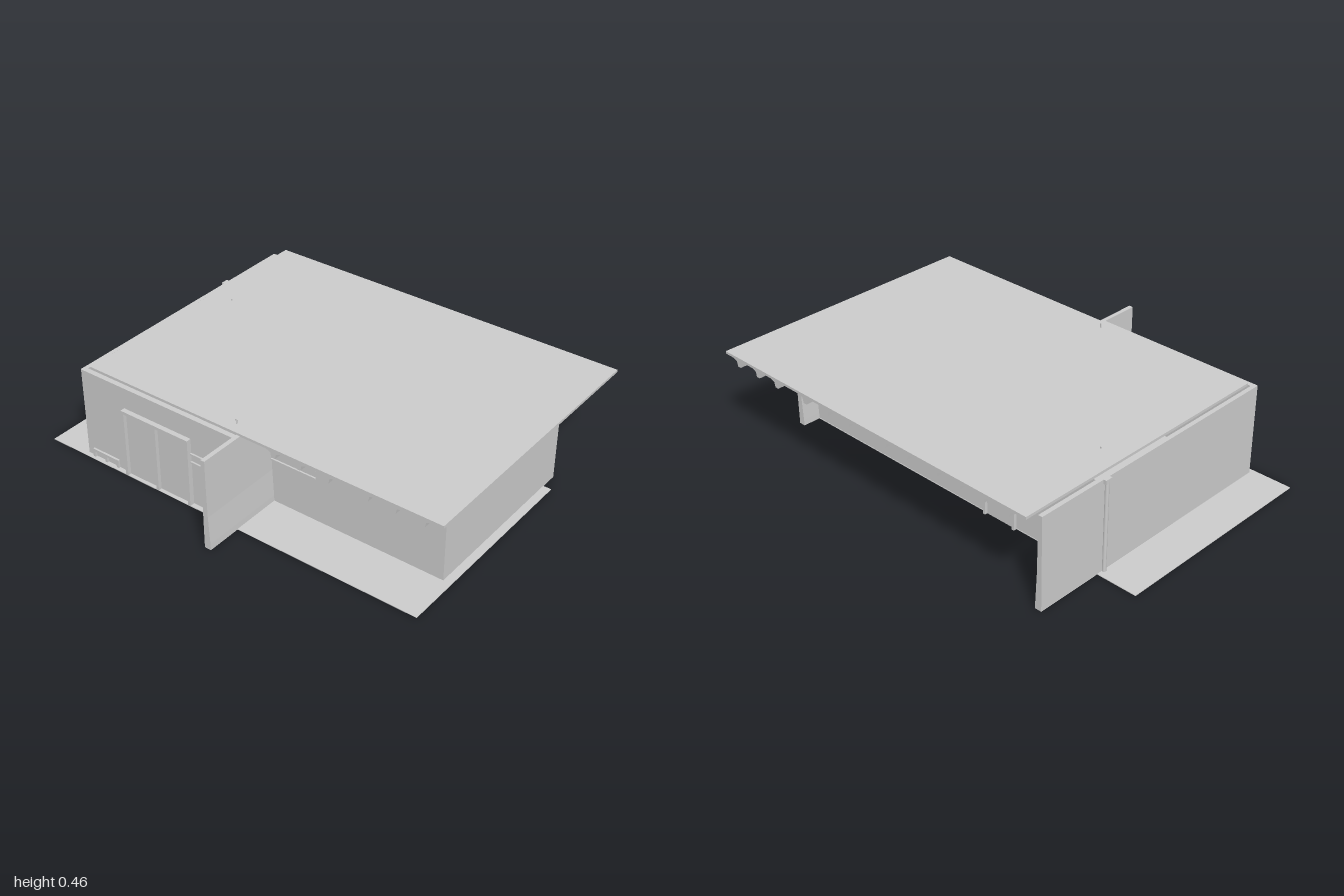
import * as THREE from 'three';

const grey = new THREE.MeshStandardMaterial({ color: 0xcccccc, flatShading: true });
const smooth = new THREE.MeshStandardMaterial({ color: 0xcccccc });

export function createModel() {
  const model = new THREE.Group();

  function add(name, geometry, material = grey) {
    const mesh = new THREE.Mesh(geometry, material);
    mesh.name = name;
    model.add(mesh);
    return mesh;
  }
  // Box given by its extents on each axis
  function box(name, [x0, x1], [y0, y1], [z0, z1]) {
    const mesh = add(name, new THREE.BoxGeometry(x1 - x0, y1 - y0, z1 - z0));
    mesh.position.set((x0 + x1) / 2, (y0 + y1) / 2, (z0 + z1) / 2);
    return mesh;
  }
  // Profile of [z, y] points swept along x
  function sweepX(name, points, x0, x1) {
    const shape = new THREE.Shape(points.map(([z, y]) => new THREE.Vector2(-z, y)));
    const geometry = new THREE.ExtrudeGeometry(shape, { depth: x1 - x0, bevelEnabled: false });
    geometry.rotateY(Math.PI / 2).translate(x0, 0, 0);
    return add(name, geometry);
  }
  // Wall with an upright outer face and an inner face that flares at the foot
  function batteredWall(name, x0, x1, outer, inward, height) {
    const profile = [[0, 0], [0.032, 0], [0.031, 0.03], [0.024, 0.16], [0.021, 0.3], [0.02, height], [0, height]];
    return sweepX(name, profile.map(([t, y]) => [outer + inward * t, y]), x0, x1);
  }
  // Upright rod
  function rod(name, x, z, y0, y1, radius) {
    const mesh = add(name, new THREE.CylinderGeometry(radius, radius, y1 - y0, 10), smooth);
    mesh.position.set(x, (y0 + y1) / 2, z);
    return mesh;
  }
  // Round fitting whose axis points along x
  function disc(name, x0, x1, y, z, radius, sides) {
    const mesh = add(name, new THREE.CylinderGeometry(radius, radius, x1 - x0, sides), smooth);
    mesh.rotation.z = -Math.PI / 2;
    mesh.position.set((x0 + x1) / 2, y, z);
    return mesh;
  }

  // Ground slab
  box('ground', [-0.605, 0.405], [0, 0.003], [-1, 0.935]);

  // Walls with projecting ends
  batteredWall('frontWall', -0.365, 0.49, 0.897, -1, 0.425);
  batteredWall('backWall', -0.58, 0.72, -0.807, 1, 0.43);
  batteredWall('sideFinWall', -0.77, -0.365, 0.024, 1, 0.43);

  // Plain side walls
  box('leftWall', [0.38, 0.403], [0, 0.425], [-0.79, 0.88]);
  box('rightRearWall', [-0.582, -0.558], [0, 0.43], [-0.805, 0.03]);
  box('rightFrontWall', [-0.365, -0.342], [0, 0.425], [0.04, 0.88]);

  // Ribbed roof: flat top with tapering stems underneath
  const stems = [0.91, 0.78, 0.655, 0.47, 0.335, 0.21, -0.01, -0.135, -0.3, -0.425, -0.55, -0.68];
  const roof = [[1, 0.44], [1, 0.428]];
  for (const z of stems) {
    const half = [[0.036, 0.428], [0.014, 0.419], [0.009, 0.396]];
    roof.push(...half.map(([d, y]) => [z + d, y]));
    roof.push(...half.reverse().map(([d, y]) => [z - d, y]));
  }
  roof.push([-0.775, 0.428], [-0.775, 0.44]);
  sweepX('ribbedRoof', roof, -0.555, 0.77);

  // Door on the left side
  const [doorBack, doorFront, doorTop] = [-0.375, -0.2, 0.33];
  for (const z of [doorBack, doorFront - 0.012])
    box('doorJamb', [0.4, 0.42], [0, doorTop], [z, z + 0.012]);
  box('doorHead', [0.4, 0.42], [doorTop - 0.012, doorTop], [doorBack, doorFront]);
  box('doorLeaf', [0.4, 0.407], [0, doorTop - 0.012], [doorBack + 0.012, doorFront - 0.012]);

  // Double door on the right side
  for (const z of [-0.565, -0.389, -0.212])
    box('doubleDoorPost', [-0.605, -0.575], [0, doorTop], [z, z + 0.014]);
  box('doubleDoorHead', [-0.605, -0.575], [doorTop - 0.014, doorTop], [-0.565, -0.198]);
  for (const z of [-0.551, -0.375])
    box('doubleDoorLeaf', [-0.588, -0.575], [0, doorTop - 0.014], [z, z + 0.163]);

  // Pairs of guard rails
  for (const y of [0.216, 0.257]) {
    box('leftGuardRail', [0.4, 0.411], [y - 0.004, y + 0.004], [-0.2, 0.275]);
    box('rightRearGuardRail', [-0.59, -0.578], [y - 0.004, y + 0.004], [-0.198, 0.03]);
    box('rightFrontGuardRail', [-0.373, -0.36], [y - 0.004, y + 0.004], [0.04, 0.275]);
  }

  // Round wall drum with a small hub
  disc('wallDrum', 0.4, 0.44, 0.215, 0.747, 0.06, 40);
  disc('drumHub', 0.44, 0.442, 0.215, 0.747, 0.004, 10);

  // Twin wall lamps
  for (const z of [-0.72, -0.75]) {
    disc('wallLampUpper', 0.4, 0.425, 0.298, z, 0.013, 16);
    box('wallLampBody', [0.4, 0.42], [0.272, 0.296], [z - 0.012, z + 0.012]);
  }

  // Downpipe on the back wall
  rod('downpipe', 0.37, -0.812, 0.003, 0.43, 0.009);
  box('downpipeHead', [0.35, 0.385], [0.41, 0.43], [-0.82, -0.805]);

  // Low pipe run by the right rear corner
  box('lowPipe', [-0.592, -0.58], [0.03, 0.042], [-0.77, -0.62]);
  for (const z of [-0.77, -0.7, -0.632])
    box('lowPipeFoot', [-0.592, -0.58], [0.003, 0.042], [z, z + 0.012]);

  // Small roof vents
  rod('roofVentTall', -0.505, -0.015, 0.438, 0.462, 0.003);
  rod('roofVentShort', 0.24, -0.667, 0.438, 0.448, 0.004);

  return model;
}
